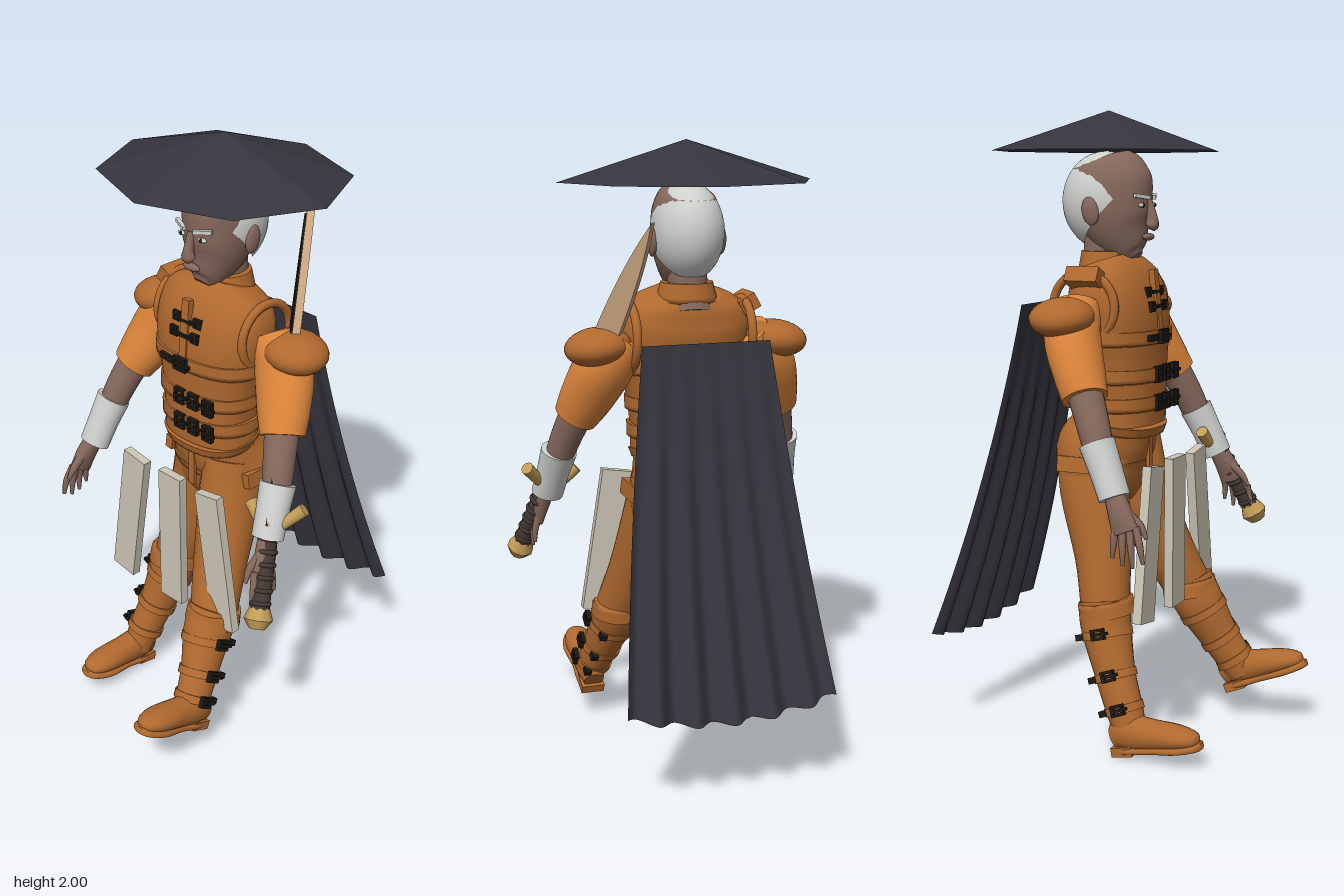
import * as THREE from 'three';

const mat = (name, color, side = THREE.FrontSide) => {
  const m = new THREE.MeshStandardMaterial({ color, side });
  m.name = name;
  return m;
};
const leather = mat('brown leather', 0xb0692f);
const sleeveCloth = mat('orange cloth', 0xdb843a);
const skin = mat('skin', 0x84675b);
const dark = mat('dark cloth', 0x36353e, THREE.DoubleSide);
const white = mat('white', 0xced0cd);
const cream = mat('cream plate', 0xcdc6b6);
const wrap = mat('grip wrap', 0x443833);
const gold = mat('gold', 0xc39d58);
const steel = mat('tan blade', 0xcba680);
const black = mat('black metal', 0x1b1814);

const MID = -0.035; // body centre line

// Smooth skin over elliptical sections [x, y, z, rx, rz]; e < 1 squares the outline
function loftGeometry(sections, e = 1, segs = 24, steps = 4) {
  const path = new THREE.CatmullRomCurve3(sections.map(s => new THREE.Vector3(s[0], s[1], s[2])), false, 'catmullrom', 0.5);
  const size = new THREE.CatmullRomCurve3(sections.map(s => new THREE.Vector3(s[3], s[4], 0)), false, 'catmullrom', 0.5);
  const n = (sections.length - 1) * steps;
  const pos = [], idx = [];
  const pw = v => Math.sign(v) * Math.abs(v) ** e;
  const ring = k => {
    const c = path.getPoint(k / n), r = size.getPoint(k / n), t = path.getTangent(k / n);
    const u = new THREE.Vector3(1, 0, 0).addScaledVector(t, -t.x).normalize();
    const v = t.clone().cross(u);
    for (let j = 0; j < segs; j++) {
      const a = j / segs * Math.PI * 2;
      const p = c.clone().addScaledVector(u, pw(Math.cos(a)) * r.x).addScaledVector(v, pw(Math.sin(a)) * r.y);
      pos.push(p.x, p.y, p.z);
    }
    return c;
  };
  for (let k = 0; k <= n; k++) ring(k);
  for (let k = 0; k < n; k++) for (let j = 0; j < segs; j++) {
    const a = k * segs + j, b = k * segs + (j + 1) % segs;
    idx.push(a, b, a + segs, b, b + segs, a + segs);
  }
  for (const k of [0, n]) { // end caps
    const base = pos.length / 3, c = ring(k);
    pos.push(c.x, c.y, c.z);
    for (let j = 0; j < segs; j++) {
      const a = base + j, b = base + (j + 1) % segs;
      idx.push(base + segs, ...(k ? [a, b] : [b, a]));
    }
  }
  const g = new THREE.BufferGeometry();
  g.setAttribute('position', new THREE.Float32BufferAttribute(pos, 3));
  g.setIndex(idx);
  g.computeVertexNormals();
  return g;
}

function add(parent, name, geometry, material, x = 0, y = 0, z = 0) {
  const m = new THREE.Mesh(geometry, material);
  m.name = name;
  m.position.set(x, y, z);
  parent.add(m);
  return m;
}
const loft = (p, name, m, sections, e, segs) => add(p, name, loftGeometry(sections, e, segs), m);
const box = (p, name, m, w, h, d, x, y, z) => add(p, name, new THREE.BoxGeometry(w, h, d), m, x, y, z);
const ball = (p, name, m, rx, ry, rz, x, y, z) => {
  const o = add(p, name, new THREE.SphereGeometry(1, 24, 16), m, x, y, z);
  o.scale.set(rx, ry, rz);
  return o;
};

// Rectangular frame with a prong
function buckle(p, w, h, x, y, z) {
  const rect = (C, a, b) => new C([[-a, -b], [a, -b], [a, b], [-a, b]].map(q => new THREE.Vector2(...q)));
  const s = rect(THREE.Shape, w / 2, h / 2);
  s.holes.push(rect(THREE.Path, w / 2 - 0.01, h / 2 - 0.01));
  const f = add(p, 'buckle', new THREE.ExtrudeGeometry(s, { depth: 0.016, bevelEnabled: false }), black, x, y, z);
  box(f, 'buckleProng', black, w * 1.3, 0.01, 0.01, w * 0.15, 0, 0.012);
  return f;
}

function buildHead(g) {
  const X = MID;
  loft(g, 'neck', skin, [[X, 1.47, -0.1, 0.09, 0.07], [X, 1.54, -0.08, 0.065, 0.07], [X, 1.64, -0.07, 0.062, 0.075]]);
  loft(g, 'head', skin, [[X, 1.545, 0.03, 0.03, 0.025], [X, 1.565, 0.012, 0.055, 0.06], [X, 1.63, -0.025, 0.09, 0.105],
    [X, 1.7, -0.045, 0.104, 0.127], [X, 1.78, -0.06, 0.103, 0.138], [X, 1.84, -0.065, 0.08, 0.11], [X, 1.862, -0.07, 0.03, 0.04]]);
  const cap = new THREE.SphereGeometry(1, 32, 20, 0, Math.PI * 2, 0, 1.9);
  cap.rotateX(-0.785).scale(0.113, 0.155, 0.143);
  add(g, 'hair', cap, white, X, 1.72, -0.075);
  loft(g, 'nose', skin, [[X, 1.725, 0.072, 0.012, 0.012], [X, 1.67, 0.085, 0.016, 0.018], [X, 1.645, 0.086, 0.024, 0.02], [X, 1.635, 0.08, 0.012, 0.01]], 1, 12);
  ball(g, 'lips', skin, 0.034, 0.012, 0.014, X, 1.61, 0.073);
  for (const s of [-1, 1]) {
    box(g, 'eyebrow', white, 0.06, 0.012, 0.012, X + s * 0.047, 1.735, 0.072).rotation.set(0, s * 0.4, s * 0.12);
    ball(g, 'eye', white, 0.018, 0.007, 0.008, X + s * 0.043, 1.708, 0.07);
    ball(g, 'pupil', black, 0.007, 0.007, 0.006, X + s * 0.043, 1.708, 0.074);
    ball(g, 'ear', skin, 0.014, 0.045, 0.028, X + s * 0.112, 1.69, -0.075).rotation.x = -0.2;
  }
  // Eight-sided straw hat
  const hat = add(g, 'hat', new THREE.ConeGeometry(1, 0.125, 8).toNonIndexed(), dark, X, 1.9375, -0.064);
  hat.geometry.computeVertexNormals();
  hat.scale.set(0.412, 1, 0.36);
}

function buildTorso(g) {
  const X = MID;
  loft(g, 'jerkin', leather, [[X, 1.02, -0.01, 0.165, 0.118], [X, 1.1, -0.01, 0.165, 0.12], [X, 1.22, -0.015, 0.182, 0.125],
    [X, 1.35, -0.02, 0.208, 0.132], [X, 1.44, -0.04, 0.21, 0.127], [X, 1.5, -0.06, 0.18, 0.105], [X, 1.53, -0.07, 0.11, 0.088]], 0.85, 36);
  loft(g, 'collar', leather, [[X, 1.5, -0.07, 0.1, 0.092], [X, 1.565, -0.07, 0.083, 0.082]]);
  for (const [y, rx, rz] of [[1.18, 0.183, 0.13], [1.09, 0.176, 0.129], [1.3, 0.204, 0.134]])
    loft(g, 'belt', leather, [[X, y - 0.022, -0.013, rx, rz], [X, y + 0.022, -0.013, rx, rz]], 0.85, 36);
  loft(g, 'hem', leather, [[X, 1.0, -0.015, 0.16, 0.12], [X, 1.03, -0.01, 0.171, 0.124]], 0.85, 36);
  for (const y of [1.18, 1.09]) for (const x of [-0.05, 0.01, 0.075]) buckle(g, 0.042, 0.052, x, y, 0.108);
  buckle(g, 0.055, 0.045, -0.035, 1.3, 0.118);
  box(g, 'strapEnd', black, 0.06, 0.02, 0.012, -0.1, 1.3, 0.12);
  box(g, 'placket', leather, 0.03, 0.2, 0.02, X, 1.41, 0.1).rotation.x = -0.1;
  for (const y of [1.44, 1.395]) {
    box(g, 'claspBar', black, 0.09, 0.01, 0.012, X, y, y > 1.42 ? 0.102 : 0.114);
    for (const s of [-1, 1]) box(g, 'clasp', black, 0.032, 0.032, 0.018, X + s * 0.045, y, y > 1.42 ? 0.09 : 0.104);
  }
  for (const s of [-1, 1]) {
    const rim = add(g, 'armholeRim', new THREE.TorusGeometry(0.105, 0.014, 10, 28), leather, X + s * 0.188, 1.4, -0.06);
    rim.rotation.y = Math.PI / 2;
    rim.rotation.x = s * 0.15;
  }
  box(g, 'shoulderTab', leather, 0.06, 0.05, 0.11, X - 0.2, 1.49, -0.05).rotation.z = -0.5;
  // Trouser seat and pocket flaps
  loft(g, 'trouserSeat', leather, [[X, 0.77, -0.07, 0.15, 0.09], [X, 0.83, -0.07, 0.18, 0.125], [X, 0.92, -0.075, 0.185, 0.152],
    [X, 0.98, -0.045, 0.168, 0.135], [X, 1.04, -0.015, 0.155, 0.113]], 0.9, 32);
  for (const s of [-1, 1]) box(g, 'pocketFlap', leather, 0.03, 0.05, 0.17, X + s * 0.18, 0.9, -0.07).rotation.z = s * 0.15;
  box(g, 'fly', leather, 0.025, 0.15, 0.012, X, 0.92, 0.078);
}

function buildArm(g, s) {
  const arm = new THREE.Group();
  arm.name = s > 0 ? 'leftArm' : 'rightArm';
  g.add(arm);
  const part = (name, m, list, e, segs) => loft(arm, name, m, list.map(([d, ...r]) => [MID + s * d, ...r]), e, segs);
  ball(arm, 'shoulderPad', leather, 0.105, 0.06, 0.1, MID + s * 0.293, 1.375, -0.082).rotation.z = -s * 0.12;
  part('sleeve', sleeveCloth, [[0.2, 1.4, -0.08, 0.07, 0.08], [0.265, 1.31, -0.06, 0.095, 0.085], [0.31, 1.21, -0.015, 0.088, 0.077], [0.34, 1.14, 0.02, 0.072, 0.07]]);
  part('forearm', skin, [[0.33, 1.17, 0.01, 0.055, 0.055], [0.365, 1.06, 0.06, 0.05, 0.05], [0.385, 0.98, 0.09, 0.045, 0.045]]);
  part('bracer', white, [[0.382, 1.015, 0.08, 0.06, 0.054], [0.395, 0.94, 0.115, 0.054, 0.05], [0.408, 0.86, 0.15, 0.053, 0.047]]);
  part('palm', skin, [[0.408, 0.88, 0.145, 0.028, 0.03], [0.425, 0.82, 0.175, 0.028, 0.037], [0.435, 0.765, 0.198, 0.02, 0.044]], 0.9, 16);
  for (let i = 0; i < 4; i++) {
    const o = (i - 1.5) * 0.022, len = [0.085, 0.105, 0.11, 0.095][i];
    part('finger', skin, [[0.434, 0.785, 0.198 + o, 0.012, 0.012], [0.448, 0.775 - len * 0.5, 0.208 + o * 1.3, 0.011, 0.011],
      [0.45, 0.775 - len, 0.212 + o * 1.5, 0.006, 0.006]], 1, 8);
  }
  part('thumb', skin, [[0.42, 0.83, 0.185, 0.015, 0.015], [0.418, 0.79, 0.235, 0.013, 0.013], [0.422, 0.75, 0.26, 0.006, 0.006]], 1, 8);
}

function buildLeg(g, name, thigh, boot, heel, pitch, out) {
  const leg = new THREE.Group();
  leg.name = name;
  g.add(leg);
  loft(leg, 'trouserLeg', leather, thigh);
  loft(leg, 'bootShaft', leather, boot);
  const [tx, ty, tz] = boot[0];
  loft(leg, 'bootCuff', leather, [[tx, ty + 0.005, tz, 0.089, 0.089], [tx, ty - 0.045, tz + 0.01, 0.092, 0.092]]);
  const path = new THREE.CatmullRomCurve3(boot.map(b => new THREE.Vector3(b[0], b[1], b[2])));
  // Boot straps with buckles on the outer side
  [0.3, 0.52, 0.74].forEach((t, i) => {
    const c = path.getPoint(t), r = [0.083, 0.07, 0.064][i];
    const strap = new THREE.Group();
    strap.name = 'bootStrap';
    strap.position.copy(c);
    strap.quaternion.setFromUnitVectors(new THREE.Vector3(0, -1, 0), path.getTangent(t));
    leg.add(strap);
    add(strap, 'strapBand', new THREE.CylinderGeometry(r, r, 0.026, 20), leather);
    const b = buckle(strap, 0.045, 0.036, out * (r - 0.004), 0, 0.01);
    b.rotation.y = out * Math.PI / 2;
    box(strap, 'strapStud', black, 0.024, 0.02, 0.03, out * r * 0.55, 0, -r * 0.85);
  });
  // Foot, pitched toe-up about the heel
  const foot = new THREE.Group();
  foot.name = 'foot';
  foot.position.set(...heel);
  foot.rotation.x = -pitch;
  leg.add(foot);
  loft(foot, 'shoe', leather, [[0, 0.05, -0.005, 0.035, 0.04], [0, 0.065, 0.04, 0.047, 0.06], [0, 0.055, 0.12, 0.05, 0.05],
    [0, 0.045, 0.21, 0.053, 0.038], [0, 0.035, 0.265, 0.035, 0.024], [0, 0.032, 0.28, 0.008, 0.008]]);
  loft(foot, 'sole', leather, [[0, 0.013, -0.01, 0.035, 0.012], [0, 0.013, 0.05, 0.046, 0.012], [0, 0.013, 0.12, 0.045, 0.012],
    [0, 0.013, 0.21, 0.057, 0.012], [0, 0.015, 0.27, 0.04, 0.012], [0, 0.016, 0.287, 0.012, 0.01]], 0.6);
  box(foot, 'heelBlock', leather, 0.08, 0.03, 0.07, 0, 0.012, 0.025);
}

function buildSword(g) {
  const sword = new THREE.Group();
  sword.name = 'sword';
  const base = new THREE.Vector3(0.375, 0.9, 0.14), tip = new THREE.Vector3(0.135, 1.765, -0.27);
  const Y = tip.clone().sub(base), L = Y.length();
  Y.normalize();
  const Z = new THREE.Vector3(-0.65, 0, 0.75);
  Z.addScaledVector(Y, -Z.dot(Y)).normalize();
  sword.quaternion.setFromRotationMatrix(new THREE.Matrix4().makeBasis(Y.clone().cross(Z), Y, Z));
  sword.position.copy(base);
  g.add(sword);
  const blade = (name, m, left, right, top, depth, z) => {
    const s = new THREE.Shape();
    s.moveTo(left, 0);
    s.lineTo(right, 0);
    s.lineTo(right, 0.55);
    s.quadraticCurveTo(right, 0.8, 0, top);
    s.quadraticCurveTo(left, 0.82, left, 0.55);
    add(sword, name, new THREE.ExtrudeGeometry(s, { depth, bevelEnabled: false }), m, 0, 0, z);
  };
  blade('blade', steel, -0.04, 0.04, L, 0.024, -0.012);
  blade('darkBladeFace', black, -0.018, 0.038, L - 0.03, 0.006, 0.012);
  add(sword, 'grip', new THREE.CylinderGeometry(0.027, 0.031, 0.25, 16), wrap, 0, -0.135, 0);
  for (let i = 0; i < 6; i++)
    add(sword, 'gripBand', new THREE.TorusGeometry(0.027, 0.008, 8, 18).rotateX(Math.PI / 2), wrap, 0, -0.04 - i * 0.04, 0);
  add(sword, 'pommel', new THREE.CylinderGeometry(0.03, 0.046, 0.04, 8), gold, 0, -0.27, 0);
  add(sword, 'pommelCap', new THREE.CylinderGeometry(0.046, 0.026, 0.03, 8), gold, 0, -0.305, 0);
  for (const [x, y, z] of [[0.28, 0.945, 0.13], [0.455, 0.965, 0.075]])
    loft(g, 'swordGuard', gold, [[0.375, 0.885, 0.145, 0.022, 0.022], [(x + 0.375) / 2, y - 0.045, (z + 0.145) / 2, 0.019, 0.019], [x, y, z, 0.021, 0.021]], 1, 12);
}

export function createModel() {
  const g = new THREE.Group();
  g.name = 'swordsman';
  buildHead(g);
  buildTorso(g);
  buildArm(g, 1);
  buildArm(g, -1);
  buildLeg(g, 'rightLeg',
    [[-0.115, 0.93, -0.075, 0.09, 0.13], [-0.13, 0.8, -0.07, 0.1, 0.115], [-0.165, 0.6, -0.025, 0.09, 0.09], [-0.2, 0.44, 0, 0.078, 0.078]],
    [[-0.2, 0.465, 0, 0.084, 0.084], [-0.215, 0.39, 0.01, 0.08, 0.082], [-0.245, 0.25, 0.055, 0.062, 0.066], [-0.268, 0.14, 0.1, 0.055, 0.06], [-0.278, 0.06, 0.13, 0.046, 0.05]],
    [-0.283, 0.002, 0.09], 0.18, -1);
  buildLeg(g, 'leftLeg',
    [[0.045, 0.93, -0.05, 0.09, 0.13], [0.055, 0.8, -0.01, 0.1, 0.115], [0.092, 0.6, 0.075, 0.09, 0.09], [0.135, 0.44, 0.15, 0.078, 0.078]],
    [[0.135, 0.465, 0.145, 0.084, 0.084], [0.142, 0.39, 0.185, 0.08, 0.082], [0.167, 0.28, 0.245, 0.062, 0.066], [0.185, 0.2, 0.295, 0.055, 0.06], [0.19, 0.15, 0.325, 0.046, 0.05]],
    [0.195, 0.09, 0.285], 0.4, 1);
  buildSword(g);
  // Three hanging skirt plates
  for (const s of [-1, 0, 1])
    box(g, 'skirtPlate', cream, 0.1, 0.485, 0.03, MID + s * 0.205, 0.675, 0.168).rotation.z = s * 0.155;
  // Rippled cape hanging away from the back
  const cape = new THREE.PlaneGeometry(1, 1, 66, 14), p = cape.attributes.position;
  for (let i = 0; i < p.count; i++) {
    const u = p.getX(i), v = 0.5 - p.getY(i);
    p.setXYZ(i, MID + u * (0.41 + 0.26 * v), 1.4 - 1.12 * v + 0.2 * v * u * u,
      -0.27 - 0.16 * v - 0.115 * v * v - 0.024 * v * Math.cos(u * Math.PI * 11));
  }
  cape.computeVertexNormals();
  add(g, 'cape', cape, dark);
  return g;
}
